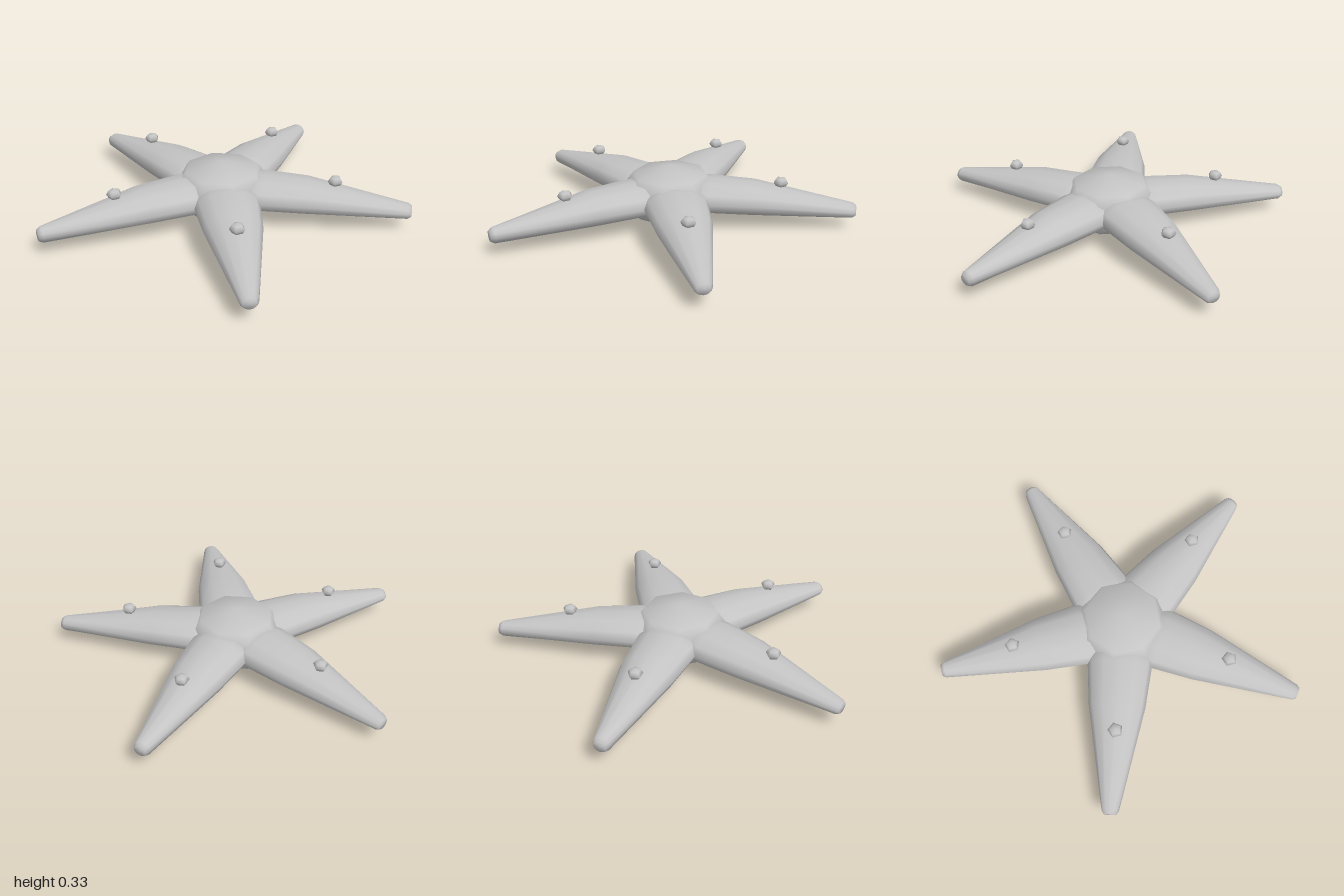
import * as THREE from 'three';

const SIDES = 12;
const CENTRE_Z = 0.095;

// Skin of elliptical rings along -z: [distance, half width, bottom y, top y]
function armGeometry(stations) {
  const positions = [];
  const index = [];
  for (const [s, halfWidth, bottom, top] of stations) {
    for (let j = 0; j < SIDES; j++) {
      const a = (j / SIDES) * Math.PI * 2;
      positions.push(
        halfWidth * Math.cos(a),
        (top + bottom) / 2 + ((top - bottom) / 2) * Math.sin(a),
        -s
      );
    }
  }
  for (let i = 0; i < stations.length - 1; i++) {
    for (let j = 0; j < SIDES; j++) {
      const k = (j + 1) % SIDES;
      const a = i * SIDES + j, b = i * SIDES + k;
      const c = b + SIDES, d = a + SIDES;
      index.push(a, d, b, b, d, c);
    }
  }
  const geometry = new THREE.BufferGeometry();
  geometry.setAttribute('position', new THREE.Float32BufferAttribute(positions, 3));
  geometry.setIndex(index);
  geometry.computeVertexNormals();
  return geometry;
}

export function createModel() {
  const model = new THREE.Group();
  model.name = 'starfish';
  const skin = new THREE.MeshStandardMaterial({ color: 0xc4c4c4 });
  skin.name = 'pale grey skin';

  // Central body: a flattened, coarse sphere
  const body = new THREE.Mesh(new THREE.SphereGeometry(0.297, 8, 4), skin);
  body.name = 'body';
  body.scale.y = 0.164 / 0.297;
  body.position.set(0, 0.168, CENTRE_Z);
  model.add(body);

  // Five tapering arms, each with one bump on its back
  const arm = armGeometry([
    [0.08, 0.0, 0.17, 0.17],
    [0.08, 0.182, 0.078, 0.266],
    [0.24, 0.179, 0.077, 0.266],
    [0.475, 0.155, 0.076, 0.258],
    [1.025, 0.046, 0.078, 0.164],
    [1.045, 0.034, 0.09, 0.15],
    [1.047, 0.0, 0.12, 0.12],
  ]);
  const bumpShape = new THREE.SphereGeometry(0.042, 5, 4);
  bumpShape.rotateY(Math.PI);
  bumpShape.scale(1, 0.7, 1);

  for (let i = 0; i < 5; i++) {
    const angle = (i * Math.PI * 2) / 5;
    const armMesh = new THREE.Mesh(arm, skin);
    armMesh.name = `arm${i + 1}`;
    armMesh.position.z = CENTRE_Z;
    armMesh.rotation.y = angle;
    model.add(armMesh);

    const bump = new THREE.Mesh(bumpShape, skin);
    bump.name = `bump${i + 1}`;
    bump.position.set(-0.625 * Math.sin(angle), 0.265, CENTRE_Z - 0.625 * Math.cos(angle));
    model.add(bump);
  }
  return model;
}
